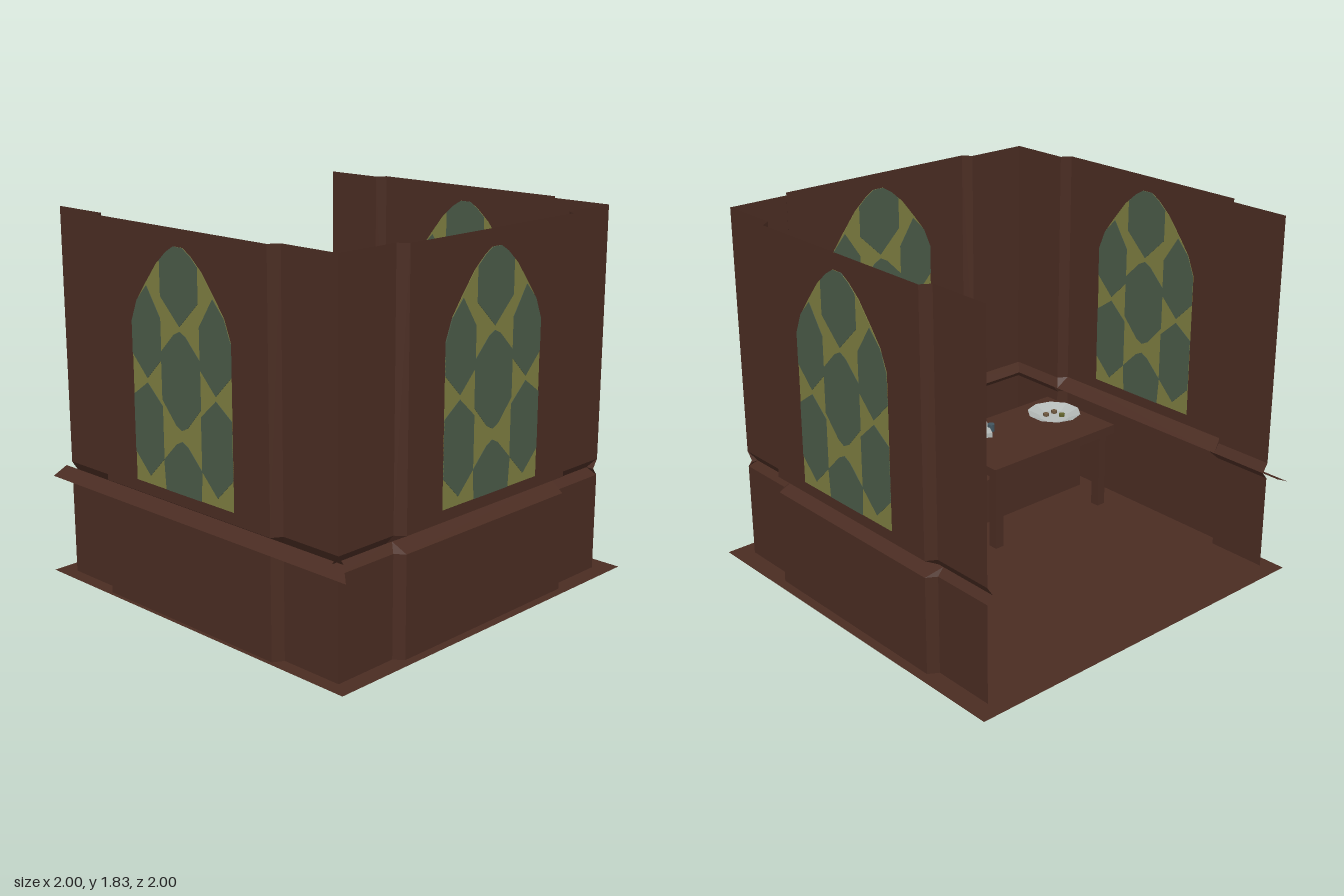
import * as THREE from 'three';

const mat = (name, color) => {
  const m = new THREE.MeshStandardMaterial({ color, side: THREE.DoubleSide });
  m.name = name;
  return m;
};

export function createModel() {
  const M = {
    wood: mat('dark wood', 0x4a2c22),
    tan: mat('tan wood', 0x84705c),
    cork: mat('cork', 0x655a44),
    glass: mat('green glass', 0x4a5a48),
    lead: mat('yellow glass', 0x7d7d40),
    white: mat('white', 0xb4bab8),
    blue: mat('slate blue', 0x42555f),
    olive: mat('olive', 0x62642c),
    biscuit: mat('biscuit', 0x6e5840),
  };
  const root = new THREE.Group();
  const add = (parent, name, geo, m, x = 0, y = 0, z = 0) => {
    const mesh = new THREE.Mesh(geo, m);
    mesh.name = name;
    mesh.position.set(x, y, z);
    parent.add(mesh);
    return mesh;
  };
  // box given by its lower and upper corners
  const box = (parent, name, m, x0, x1, y0, y1, z0, z1) =>
    add(parent, name, new THREE.BoxGeometry(x1 - x0, y1 - y0, z1 - z0), m, (x0 + x1) / 2, (y0 + y1) / 2, (z0 + z1) / 2);
  const group = (name, parent = root) => {
    const g = new THREE.Group();
    g.name = name;
    parent.add(g);
    return g;
  };

  // floor
  add(root, 'floor', new THREE.PlaneGeometry(2, 2).rotateX(-Math.PI / 2), M.wood);

  // folded wall sheet: projecting middle bay and a V groove at rail height
  const wallGeometry = (u0, u1, base, bay, groove) => {
    const plan = [[u0, base], [-0.595, base], [-0.56, bay], [0.555, bay], [0.585, base], [u1, base]];
    const levels = [[0, 0], [0.49, 0], [0.527, 1], [0.573, 0], [1.83, 0]];
    const pos = [], at = (i, j) => [plan[i][0], levels[j][0], levels[j][1] ? groove : plan[i][1]];
    for (let j = 0; j < levels.length - 1; j++)
      for (let i = 0; i < plan.length - 1; i++) {
        const a = at(i, j), b = at(i + 1, j), c = at(i + 1, j + 1), d = at(i, j + 1);
        pos.push(...a, ...b, ...c, ...a, ...c, ...d);
      }
    const g = new THREE.BufferGeometry();
    g.setAttribute('position', new THREE.Float32BufferAttribute(pos, 3));
    g.computeVertexNormals();
    return g;
  };

  // arched window with leaded panes, visible from both sides
  const plate = (pts, depth) => new THREE.ExtrudeGeometry(
    new THREE.Shape(pts.map(p => new THREE.Vector2(...p))), { depth, bevelEnabled: false }).translate(0, 0, -depth / 2);
  const flip = pts => pts.map(([x, y]) => [-x, y]).reverse();
  const arch = [[0.33, 0.63], [0.33, 1.38], [0.29, 1.48], [0.23, 1.56], [0.15, 1.66], [0.08, 1.72], [0.03, 1.75]];
  const half = {
    top: [[0, 1.4], [0.125, 1.52], [0.125, 1.68], [0.08, 1.72], [0.03, 1.75]],
    middle: [[0, 0.93], [0.04, 0.95], [0.13, 1.05], [0.13, 1.27], [0.04, 1.36], [0, 1.38]],
    bottom: [[0.12, 0.63], [0.13, 0.77], [0.04, 0.86], [0, 0.88]],
  };
  const sidePanes = [
    [[0.33, 1.23], [0.23, 1.13], [0.13, 1.23], [0.13, 1.42], [0.22, 1.555], [0.29, 1.48], [0.33, 1.38]],
    [[0.33, 0.77], [0.23, 0.67], [0.13, 0.77], [0.13, 1.02], [0.23, 1.11], [0.33, 1.04]],
  ];
  const addWindow = (parent, d) => {
    const w = group('window', parent);
    w.position.z = d;
    add(w, 'windowLeading', plate([...arch, ...flip(arch)], 0.005), M.lead);
    for (const pts of Object.values(half)) add(w, 'centrePane', plate([...pts, ...flip(pts)], 0.009), M.glass);
    for (const pts of sidePanes) {
      add(w, 'sidePane', plate(pts, 0.009), M.glass);
      add(w, 'sidePane', plate(flip(pts), 0.009), M.glass);
    }
  };

  // three walls, the back stays open
  for (const [name, turn, u0, u1, base, bay, groove] of [
    ['frontWall', 0, -0.93, 0.9, 0.91, 0.955, 0.87],
    ['leftWall', Math.PI / 2, -0.91, 0.91, 0.9, 0.95, 0.87],
    ['rightWall', -Math.PI / 2, -0.91, 0.91, 0.93, 0.98, 0.9],
  ]) {
    const w = group(name);
    w.rotation.y = turn;
    add(w, 'wallPanel', wallGeometry(u0, u1, base, bay, groove), M.wood);
    addWindow(w, bay);
  }

  // rail on the right wall, running past both ends
  const rail = new THREE.BufferGeometry();
  rail.setAttribute('position', new THREE.Float32BufferAttribute([
    -0.98, 0.49, -1, -0.98, 0.49, 1, -0.9, 0.527, 0.91, -0.9, 0.527, -1], 3));
  rail.setIndex([0, 1, 2, 0, 2, 3]);
  rail.computeVertexNormals();
  add(root, 'rail', rail, M.wood);

  // bookshelf
  const shelf = group('bookshelf');
  const sx0 = 0.01, sx1 = 0.868, z0 = 0.48, z1 = 0.82;
  box(shelf, 'shelfBack', M.tan, sx0, sx1, 0, 1.02, z1 - 0.02, z1);
  for (const x of [sx0, sx1 - 0.03]) box(shelf, 'shelfSide', M.tan, x, x + 0.03, 0, 1.02, z0, z1);
  for (const y of [0.05, 0.29, 0.53, 0.78, 1.02]) box(shelf, 'shelfBoard', M.tan, sx0, sx1, y - 0.035, y, z0, z1);
  const blueBox = box(shelf, 'storageBox', M.blue, 0.42, 0.74, 0.78, 0.9, 0.53, 0.7);
  blueBox.rotation.y = 0.12;

  // upright books
  const covers = [M.blue, M.white, M.olive, M.blue, M.wood, M.white, M.olive];
  let n = 0;
  const row = (y, from, to) => {
    for (let x = from; x > to; n++) {
      const w = 0.035 + 0.012 * (n * 5 % 3), h = 0.13 + 0.015 * (n * 3 % 4);
      box(shelf, 'book', covers[n % 7], x - w + 0.003, x, y, y + h, 0.54, 0.72);
      x -= w;
    }
  };
  row(0.05, 0.78, 0.06);
  row(0.29, 0.5, 0.06);
  row(0.53, 0.3, 0.06);
  // leaning books
  for (const [x, y, m, a] of [[0.7, 0.29, M.white, -0.6], [0.64, 0.29, M.olive, -0.5], [0.56, 0.29, M.wood, -0.3], [0.64, 0.53, M.wood, -0.9]])
    add(shelf, 'leaningBook', new THREE.BoxGeometry(0.03, 0.15, 0.16), m, x, y + 0.075, 0.61).rotation.z = a;
  // stacked books
  [M.olive, M.blue, M.white].forEach((m, i) =>
    box(shelf, 'stackedBook', m, 0.36 + 0.01 * i, 0.56 - 0.01 * i, 0.53 + i * 0.035, 0.562 + i * 0.035, 0.53, 0.72));

  // pin board on the left wall
  const board = group('pinBoard');
  box(board, 'corkPanel', M.cork, 0.895, 0.925, 0.66, 1.39, -0.55, 0.52);
  for (const y of [0.65, 1.36]) box(board, 'boardFrame', M.tan, 0.87, 0.93, y, y + 0.04, -0.56, 0.53);
  for (const z of [-0.56, 0.49]) box(board, 'boardFrame', M.tan, 0.87, 0.93, 0.65, 1.4, z, z + 0.04);
  for (const [z, y] of [[0.02, 1.23], [0.28, 1.08], [-0.38, 0.99], [-0.04, 0.82]]) {
    box(board, 'card', M.white, 0.889, 0.895, y - 0.075, y + 0.075, z - 0.07, z + 0.07);
    add(board, 'cardPicture', new THREE.CylinderGeometry(0.045, 0.045, 0.004, 8).rotateZ(Math.PI / 2), M.blue, 0.888, y, z);
  }
  [[-0.19, 1.24, 0.15], [-0.18, 1.16, -0.2], [0.08, 1.06, 0.7], [0.33, 0.9, 0.6], [0.12, 0.85, 0.1], [0.1, 0.79, -0.15]]
    .forEach(([z, y, a]) => {
      add(board, 'note', new THREE.BoxGeometry(0.006, 0.085, 0.1), M.olive, 0.891, y, z).rotation.x = a;
    });

  // desk
  const desk = group('desk');
  box(desk, 'deskTop', M.wood, -0.87, -0.02, 0.42, 0.47, 0.08, 0.6);
  for (const x of [-0.84, -0.1]) for (const z of [0.11, 0.52])
    box(desk, 'deskLeg', M.wood, x, x + 0.05, 0, 0.42, z, z + 0.05);

  // bench behind the desk
  box(root, 'bench', M.wood, -0.9, 0.01, 0, 0.25, 0.36, 0.82);

  // plate with biscuits
  const dish = group('plate');
  dish.position.set(-0.7, 0.47, 0.37);
  const profile = [[0, 0.005], [0.08, 0.005], [0.145, 0.03]].map(p => new THREE.Vector2(...p));
  const dishGeo = new THREE.LatheGeometry(profile, 10).toNonIndexed();
  dishGeo.computeVertexNormals();
  add(dish, 'dish', dishGeo, M.white);
  for (const [x, z, m] of [[-0.03, -0.03, M.olive], [-0.03, 0.03, M.biscuit], [0.03, 0.03, M.biscuit]])
    add(dish, 'biscuit', new THREE.CylinderGeometry(0.016, 0.016, 0.015, 8), m, x, 0.014, z);

  // paper holder with two small pots
  const tray = group('tray');
  tray.position.set(-0.29, 0.47, 0.48);
  tray.rotation.y = -0.52;
  box(tray, 'trayBody', M.white, -0.03, 0.03, 0, 0.025, -0.085, 0.085);
  add(tray, 'inkPot', new THREE.CylinderGeometry(0.018, 0.018, 0.03, 8), M.blue, 0, 0.02, 0.06);
  add(tray, 'sidePot', new THREE.CylinderGeometry(0.02, 0.02, 0.04, 8), M.blue, -0.04, 0.02, 0);

  // open pot on the bench
  const pot = group('pot');
  pot.position.set(-0.16, 0.25, 0.71);
  add(pot, 'potWall', new THREE.CylinderGeometry(0.055, 0.042, 0.12, 8, 1, true), M.blue, 0, 0.06, 0);
  add(pot, 'potRim', new THREE.TorusGeometry(0.05, 0.008, 4, 8).rotateX(Math.PI / 2), M.blue, 0, 0.12, 0);
  add(pot, 'potFilling', new THREE.CylinderGeometry(0.045, 0.04, 0.08, 8), M.wood, 0, 0.045, 0);
  add(pot, 'potLeaf', new THREE.CylinderGeometry(0.016, 0.016, 0.03, 6), M.olive, 0, 0.1, 0);

  return root;
}
